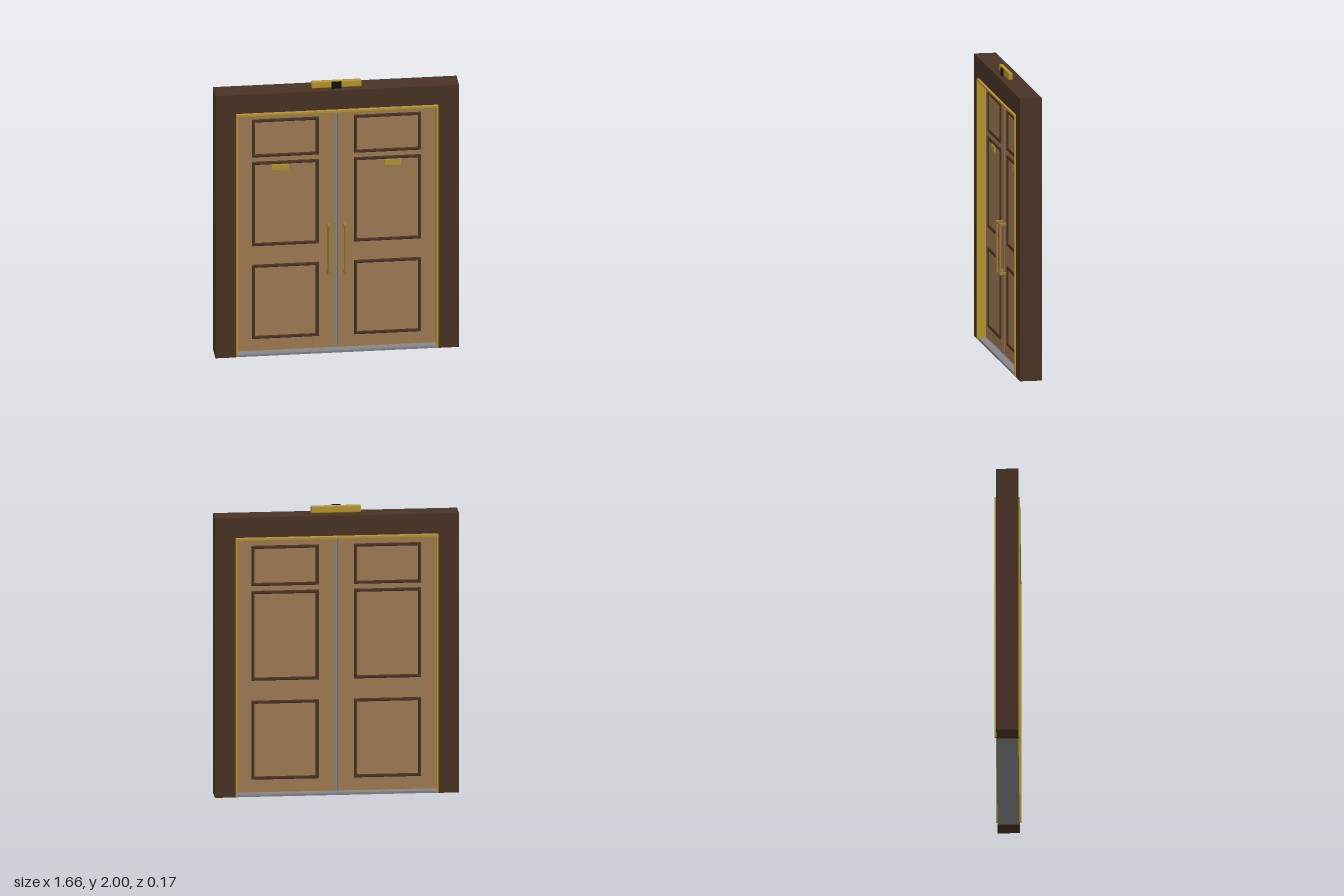
import * as THREE from 'three';
import { RoundedBoxGeometry } from 'three/addons/geometries/RoundedBoxGeometry.js';

const mat = (color) => new THREE.MeshStandardMaterial({ color });

// Rectangle outline from corner to corner
function rect(Type, x0, y0, x1, y1) {
  const p = new Type();
  p.moveTo(x0, y0);
  p.lineTo(x1, y0);
  p.lineTo(x1, y1);
  p.lineTo(x0, y1);
  p.closePath();
  return p;
}

// Rectangular ring of border width w, extruded from z0 to z1 with an optional bevel
function ring(x0, y0, x1, y1, w, z0, z1, bevel = 0) {
  const s = rect(THREE.Shape, x0 + bevel, y0 + bevel, x1 - bevel, y1 - bevel);
  s.holes.push(rect(THREE.Path, x0 + w - bevel, y0 + w - bevel, x1 - w + bevel, y1 - w + bevel));
  const g = new THREE.ExtrudeGeometry(s, {
    depth: z1 - z0 - 2 * bevel, bevelEnabled: bevel > 0,
    bevelSize: bevel, bevelThickness: bevel, bevelSegments: 1,
  });
  return g.translate(0, 0, z0 + bevel);
}

// Upside-down U around an opening
function arch(outX, outY, inX, inY, bottom, depth) {
  const s = new THREE.Shape();
  [[-outX, bottom], [-inX, bottom], [-inX, inY], [inX, inY], [inX, bottom],
    [outX, bottom], [outX, outY], [-outX, outY]]
    .forEach(([x, y], i) => (i ? s.lineTo(x, y) : s.moveTo(x, y)));
  return new THREE.ExtrudeGeometry(s, { depth, bevelEnabled: false }).translate(0, 0, -depth / 2);
}

export function createModel() {
  const root = new THREE.Group();
  root.name = 'doubleDoor';
  const darkWood = mat(0x4a3326);
  const wood = mat(0xa27d54);
  const brass = mat(0xb8962e);
  const handleBrass = mat(0x9a7a3a);
  const steel = mat(0x85868a);
  const black = mat(0x111111);

  const add = (parent, name, geometry, material, x = 0, y = 0, z = 0) => {
    const m = new THREE.Mesh(geometry, material);
    m.name = name;
    m.position.set(x, y, z);
    parent.add(m);
    return m;
  };
  const box = (w, h, d) => new THREE.BoxGeometry(w, h, d);

  // Surround, brass lining of the opening and floor sill
  add(root, 'frame', arch(0.83, 1.95, 0.69, 1.81, 0, 0.15), darkWood);
  add(root, 'lining', arch(0.689, 1.805, 0.677, 1.792, 0.01, 0.172), brass);
  add(root, 'threshold', box(1.38, 0.016, 0.15), steel, 0, 0.009, 0);

  // Seal between the two leaves
  add(root, 'centreSeal', box(0.018, 1.775, 0.034), steel, 0, 0.905, 0);

  const panels = [[0.11, 0.66], [0.80, 1.425], [1.46, 1.74]];
  const face = 0.022;
  for (const side of [-1, 1]) {
    const leaf = new THREE.Group();
    leaf.name = side > 0 ? 'leftDoor' : 'rightDoor';
    root.add(leaf);
    add(leaf, 'leaf', box(0.667, 1.772, face * 2), wood, side * 0.3435, 0.906, 0);

    // Moulded panels on both faces
    const x0 = side > 0 ? 0.12 : -0.577;
    const x1 = side > 0 ? 0.577 : -0.12;
    for (const [y0, y1] of panels) {
      add(leaf, 'frontMoulding', ring(x0, y0, x1, y1, 0.021, face - 0.002, face + 0.012, 0.004), darkWood);
      add(leaf, 'backMoulding', ring(x0, y0, x1, y1, 0.021, -face - 0.012, -face + 0.002, 0.004), darkWood);
      add(leaf, 'panel', box(x1 - x0 - 0.04, y1 - y0 - 0.04, face * 2 + 0.006), wood,
        (x0 + x1) / 2, (y0 + y1) / 2, 0);
    }

    // Name plate
    add(leaf, 'plate', box(0.113, 0.04, 0.01), brass, side * 0.382, 1.38, face + 0.007);

    // Pull handle on two standoffs
    const handle = new THREE.Group();
    handle.name = 'handle';
    handle.position.set(side * 0.055, 0.765, 0);
    leaf.add(handle);
    add(handle, 'grip', new THREE.CylinderGeometry(0.009, 0.009, 0.35, 16), handleBrass, 0, 0, 0.066);
    for (const end of [-1, 1]) {
      add(handle, 'standoff', new RoundedBoxGeometry(0.024, 0.02, 0.054, 2, 0.004), handleBrass,
        0, end * 0.17, 0.047);
    }
  }

  // Lamp bar and small dark plate above the frame
  add(root, 'topBar', new RoundedBoxGeometry(0.34, 0.05, 0.03, 3, 0.008), brass, 0, 1.975, 0.015);
  add(root, 'topPlate', box(0.068, 0.053, 0.009), black, 0, 1.9735, 0.041);

  return root;
}
